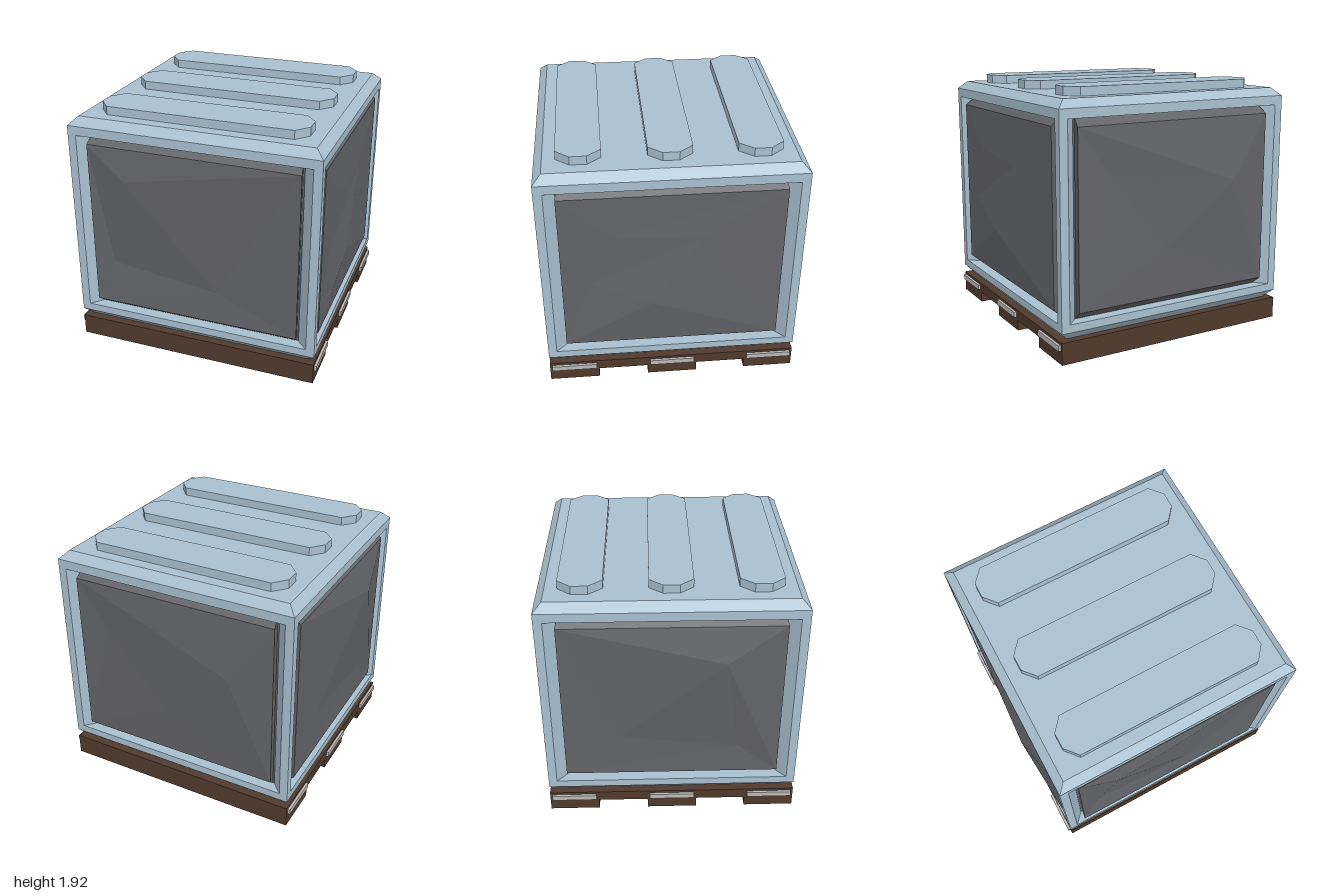
import * as THREE from 'three';

const mat = (color, extra = {}) => new THREE.MeshStandardMaterial({ color, flatShading: true, ...extra });

export function createModel() {
  const model = new THREE.Group();
  const blue = mat(0xa9c0cf), dark = mat(0x626368, { side: THREE.DoubleSide });
  const brown = mat(0x4f3a2d), grey = mat(0xbbb8b6);
  const H = 0.959, IN = 0.895; // half width of the crate, and of its chamfered ends

  const add = (name, geometry, material, x = 0, y = 0, z = 0) => {
    const mesh = new THREE.Mesh(geometry, material);
    mesh.name = name;
    mesh.position.set(x, y, z);
    model.add(mesh);
    return mesh;
  };
  // Square block from y0 to y1 whose half width may change with height
  const block = (name, y0, y1, h0, h1, material) => {
    const g = new THREE.CylinderGeometry(h1 * Math.SQRT2, h0 * Math.SQRT2, y1 - y0, 4);
    add(name, g.rotateY(Math.PI / 4), material, 0, (y0 + y1) / 2, 0);
  };
  // Plan outline (x, z) raised to a height
  const prism = (points, height) => {
    const shape = new THREE.Shape(points.map(([x, z]) => new THREE.Vector2(x, -z)));
    return new THREE.ExtrudeGeometry(shape, { depth: height, bevelEnabled: false }).rotateX(-Math.PI / 2);
  };

  // Crate base and lid with chamfered rims
  block('baseChamfer', 0.165, 0.23, IN, H, blue);
  block('baseRim', 0.23, 0.29, H, H, blue);
  block('lidRim', 1.73, 1.8, H, H, blue);
  block('lidChamfer', 1.8, 1.86, H, IN, blue);

  // Corner posts with sloped inner sides
  const post = prism([[H, H], [IN, H], [0.815, 0.875], [0.8, 0.8], [0.875, 0.815], [H, IN]], 1.44);
  for (let i = 0; i < 4; i++) add('cornerPost', post, blue, 0, 0.29, 0).rotation.y = i * Math.PI / 2;

  // Lid ribs, long octagons
  const a = 0.797, b = 0.16, ca = 0.712, cb = 0.06;
  const rib = prism([[a, cb], [ca, b], [-ca, b], [-a, cb], [-a, -cb], [-ca, -b], [ca, -b], [a, -cb]], 0.065);
  for (const z of [-0.642, 0, 0.642]) add('lidRib', rib, blue, 0, 1.86, z);

  // Cargo inside the crate
  block('cargoCore', 0.29, 1.73, 0.87, 0.87, dark);

  // Uneven cargo face: rim depth, then one inner point per corner (lower left, lower right, upper right, upper left)
  const cargoFace = (name, angle, depth, inner) => {
    const ring = (w, y0, y1, z) => [[-w, y0, z], [w, y0, z], [w, y1, z], [-w, y1, z]];
    const rim = ring(0.815, 0.355, 1.67, depth), back = ring(0.8, 0.29, 1.73, 0.87);
    const verts = [];
    const tri = (p, q, r) => { if (p !== q && q !== r && r !== p) verts.push(...p, ...q, ...r); };
    for (let i = 0; i < 4; i++) {
      const j = (i + 1) % 4;
      tri(back[i], back[j], rim[j]);
      tri(back[i], rim[j], rim[i]);
      tri(rim[i], rim[j], inner[j]);
      tri(rim[i], inner[j], inner[i]);
    }
    tri(inner[0], inner[1], inner[2]);
    tri(inner[0], inner[2], inner[3]);
    const g = new THREE.BufferGeometry();
    g.setAttribute('position', new THREE.Float32BufferAttribute(verts, 3));
    g.computeVertexNormals();
    add(name, g, dark).rotation.y = angle;
  };
  const f = [0.185, 0.6, 0.929];
  cargoFace('frontCargo', 0, 0.951, [[-0.665, 0.7, 0.915], f, f, [-0.51, 1.43, 0.99]]);
  cargoFace('rightCargo', Math.PI / 2, 0.947,
    [[-0.6, 0.93, 0.95], [-0.15, 0.74, 0.985], [0.22, 1.31, 0.96], [-0.42, 1.34, 0.955]]);
  const k = [0.48, 1.19, 1.002];
  cargoFace('backCargo', Math.PI, 0.949, [[-0.56, 1.31, 0.948], [-0.09, 0.73, 0.961], k, k]);
  const l = [0.39, 1.4, 1.015];
  cargoFace('leftCargo', -Math.PI / 2, 0.945, [[-0.4, 0.7, 0.94], [0.5, 0.6, 0.935], l, l]);

  // Pallet: deck, three runners and metal end clips
  add('palletDeck', new THREE.BoxGeometry(2 * H, 0.083, 2 * H), brown, 0, 0.1235, 0);
  for (const z of [-0.767, 0, 0.767]) {
    add('palletRunner', new THREE.BoxGeometry(2 * H, 0.084, 0.384), brown, 0, 0.042, z);
    for (const s of [-1, 1]) add('palletClip', new THREE.BoxGeometry(0.04, 0.042, 0.345), grey, s * 0.959, 0.124, z);
  }

  // Small offset so the whole, bulges included, is centred
  for (const part of model.children) part.position.add(new THREE.Vector3(0.015, 0, 0.006));
  return model;
}
